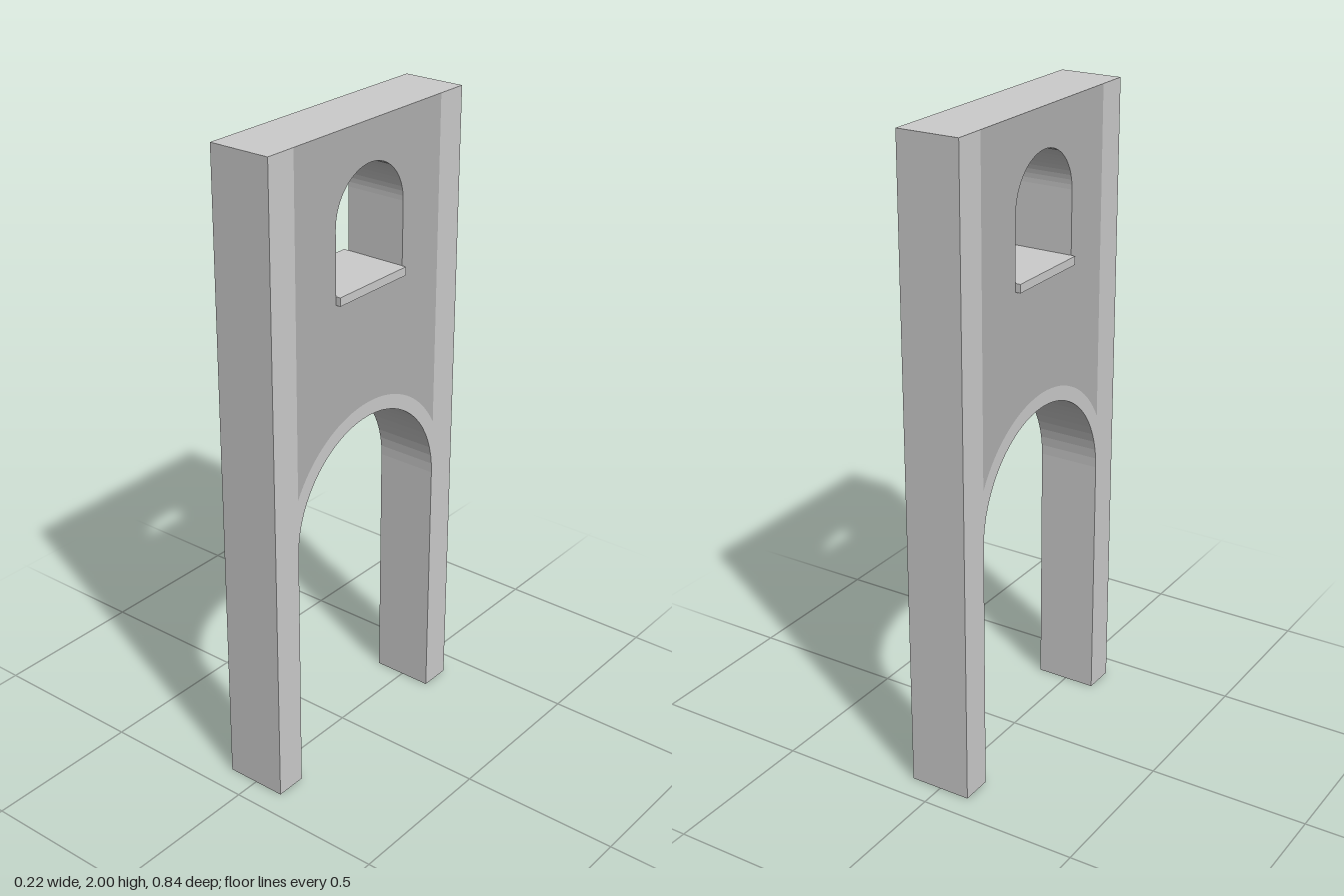
import * as THREE from 'three';

const DEPTH = 0.196;          // wall thickness along x
const HALF = 0.42;            // half width along z
const OPEN = 0.32;            // half width and radius of the archway
const SPRING = 0.797;         // height where the arch starts
const RING = 0.365;           // outer radius of the arch band
const TOP = 2;

// Extrude a profile drawn in (z, y) through the wall thickness
function wallPart(name, shape, materials) {
  const geometry = new THREE.ExtrudeGeometry(shape, { depth: DEPTH, bevelEnabled: false, curveSegments: 16 });
  geometry.translate(0, 0, -DEPTH / 2);
  geometry.rotateY(Math.PI / 2);
  const mesh = new THREE.Mesh(geometry, materials);
  mesh.name = name;
  return mesh;
}

export function createModel() {
  const group = new THREE.Group();
  group.name = 'archedGateWall';
  const light = new THREE.MeshStandardMaterial({ color: 0xcccccc });
  const dark = new THREE.MeshStandardMaterial({ color: 0xb0b0b0 });
  const a = Math.acos(OPEN / RING);
  const join = SPRING + RING * Math.sin(a);

  // Two pillars joined by the arch band
  const frame = new THREE.Shape();
  frame.moveTo(-HALF, 0);
  frame.lineTo(-OPEN, 0);
  frame.lineTo(-OPEN, SPRING);
  frame.absarc(0, SPRING, OPEN, Math.PI, 0, true);
  frame.lineTo(OPEN, 0);
  frame.lineTo(HALF, 0);
  frame.lineTo(HALF, TOP);
  frame.lineTo(OPEN, TOP);
  frame.lineTo(OPEN, join);
  frame.absarc(0, SPRING, RING, a, Math.PI - a, false);
  frame.lineTo(-OPEN, TOP);
  frame.lineTo(-HALF, TOP);
  frame.closePath();
  group.add(wallPart('pillarsAndArch', frame, light));

  // Darker wall panel above the arch, with a round-topped window
  const panel = new THREE.Shape();
  panel.moveTo(OPEN, TOP);
  panel.lineTo(-OPEN, TOP);
  panel.lineTo(-OPEN, join);
  panel.absarc(0, SPRING, RING, Math.PI - a, a, true);
  panel.closePath();
  const opening = new THREE.Path();
  opening.moveTo(-0.15, 1.51);
  opening.lineTo(0.15, 1.51);
  opening.lineTo(0.15, 1.73);
  opening.absarc(0, 1.73, 0.15, 0, Math.PI, false);
  opening.closePath();
  panel.holes.push(opening);
  group.add(wallPart('wallPanel', panel, [dark, light]));

  // Window sill running through the wall
  const sill = new THREE.Mesh(new THREE.BoxGeometry(0.225, 0.026, 0.297), light);
  sill.name = 'windowSill';
  sill.position.y = 1.523;
  group.add(sill);

  return group;
}
